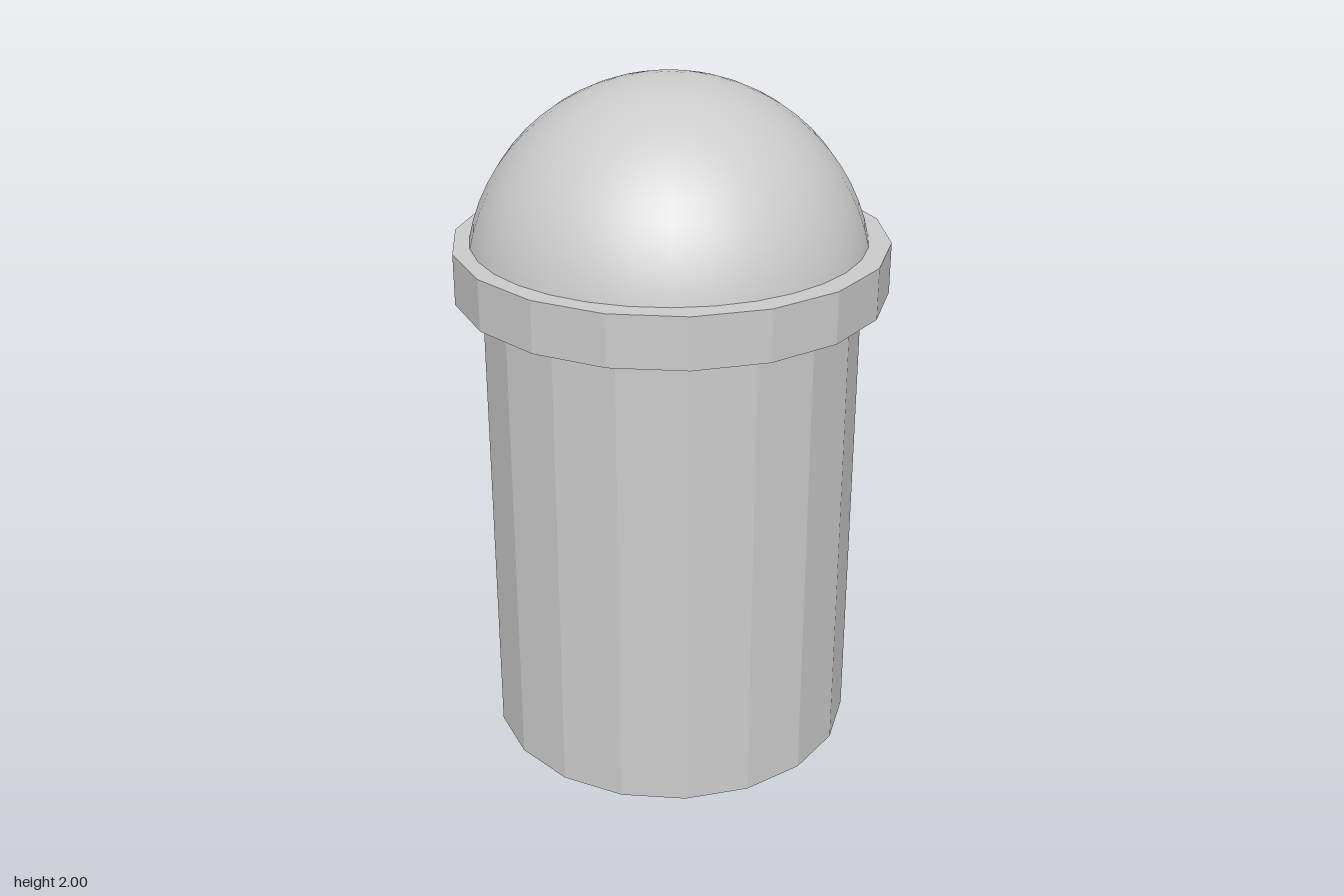
import * as THREE from 'three';

const STEP = 20; // degrees per facet of the 18-sided body
const material = new THREE.MeshStandardMaterial({ color: 0xcccccc });

// Points on a circle, angles counted from +x towards the back (-z).
function arc(radius, from, to) {
  const points = [];
  for (let a = from; a <= to; a += STEP) {
    const t = THREE.MathUtils.degToRad(a);
    points.push(new THREE.Vector2(radius * Math.cos(t), radius * Math.sin(t)));
  }
  return points;
}

// Faceted upright prism between two heights.
function prism(name, shape, y0, y1) {
  const geometry = new THREE.ExtrudeGeometry(shape, { depth: y1 - y0, bevelEnabled: false });
  geometry.rotateX(-Math.PI / 2);
  geometry.translate(0, y0, 0);
  const mesh = new THREE.Mesh(geometry, material);
  mesh.name = name;
  return mesh;
}

export function createModel() {
  const group = new THREE.Group();
  group.name = 'domedCanister';
  const outer = 0.543, inner = 0.527;
  const floor = 0.08, collarBottom = 1.395, collarTop = 1.543;

  // Hollow foot ring
  const foot = new THREE.Shape(arc(outer, 0, 340));
  foot.holes.push(new THREE.Path(arc(inner, 0, 340)));
  group.add(prism('footRing', foot, 0, floor));

  // Inner core, seen as the recessed back panel and the raised underside
  group.add(prism('innerCore', new THREE.Shape(arc(inner, 0, 340)), floor, collarBottom));

  // Outer shell, open at the back between 40 and 140 degrees
  const shell = new THREE.Shape([...arc(outer, 140, 400), ...arc(inner, 140, 400).reverse()]);
  group.add(prism('outerShell', shell, floor, collarBottom));

  // Wide collar under the lid
  group.add(prism('collar', new THREE.Shape(arc(0.62, 0, 340)), collarBottom, collarTop));

  // Smooth domed lid
  const dome = new THREE.Mesh(
    new THREE.SphereGeometry(0.577, 32, 16, 0, Math.PI * 2, 0, Math.PI / 2), material);
  dome.name = 'domeLid';
  dome.position.set(0, 1.423, -0.01);
  group.add(dome);

  return group;
}
